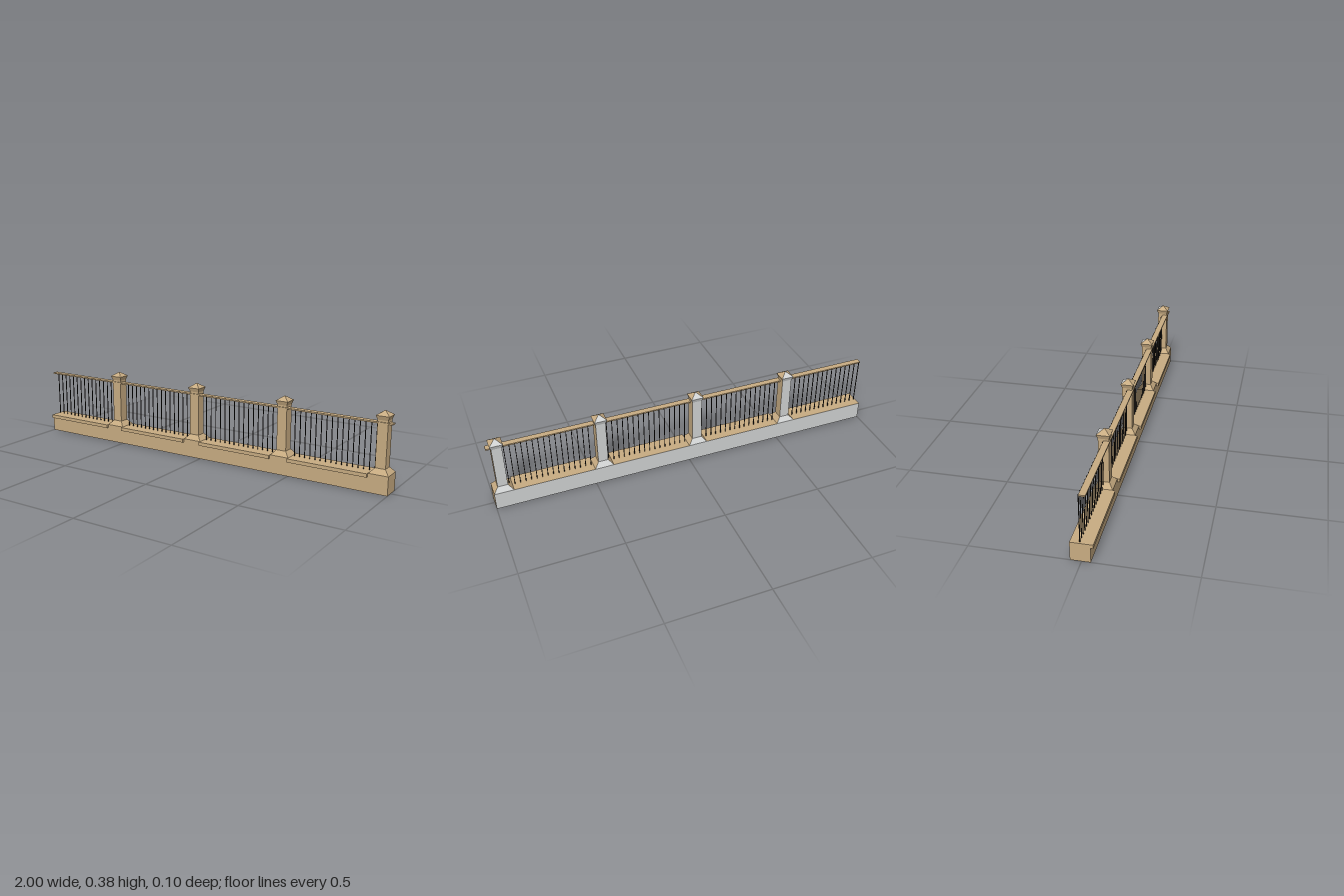
import * as THREE from 'three';

const tan = new THREE.MeshStandardMaterial({ color: 0xc8ac82 });
tan.name = 'tan stone';
const grey = new THREE.MeshStandardMaterial({ color: 0xd0d2d2 });
grey.name = 'plain grey';
const iron = new THREE.MeshStandardMaterial({ color: 0x1e1b18 });
iron.name = 'dark iron';

// box given by its min and max corners
function box(name, x0, x1, y0, y1, z0, z1, material) {
  const mesh = new THREE.Mesh(new THREE.BoxGeometry(x1 - x0, y1 - y0, z1 - z0), material);
  mesh.position.set((x0 + x1) / 2, (y0 + y1) / 2, (z0 + z1) / 2);
  mesh.name = name;
  return mesh;
}

// four-sided stack of rectangular rings [halfX, halfZ, y]; the back side is grey
function taper(name, rings) {
  const corners = [[-1, 1], [1, 1], [1, -1], [-1, -1]];
  const points = [];
  const geometry = new THREE.BufferGeometry();
  for (const side of [0, 1, 3, 2]) {
    const p = corners[side], q = corners[(side + 1) % 4];
    for (let i = 0; i < rings.length - 1; i++) {
      const at = ([sx, sz], [hx, hz, y]) => [sx * hx, y, sz * hz];
      const a = at(p, rings[i]), b = at(q, rings[i]);
      const c = at(q, rings[i + 1]), d = at(p, rings[i + 1]);
      points.push(...a, ...b, ...c);
      if (rings[i + 1][0] > 0) points.push(...a, ...c, ...d);
    }
  }
  geometry.setAttribute('position', new THREE.Float32BufferAttribute(points, 3));
  const count = points.length / 3;
  geometry.addGroup(0, count * 0.75, 0);
  geometry.addGroup(count * 0.75, count * 0.25, 1);
  geometry.computeVertexNormals();
  const mesh = new THREE.Mesh(geometry, [tan, grey]);
  mesh.name = name;
  return mesh;
}

// square post with sloped foot and pointed cap
function makePost() {
  const post = new THREE.Group();
  post.name = 'post';
  post.add(
    taper('postFoot', [[0.048, 0.045, 0.091], [0.025, 0.025, 0.116]]),
    taper('postShaft', [[0.025, 0.025, 0.116], [0.025, 0.025, 0.34]]),
    taper('postCap', [[0.025, 0.025, 0.34], [0.032, 0.032, 0.36], [0, 0, 0.382]])
  );
  return post;
}

// one fence section, 0.5 long, starting at x = 0
function makeSection() {
  const section = new THREE.Group();
  section.name = 'fenceSection';
  section.add(
    box('baseWall', 0, 0.5, 0, 0.091, -0.05, 0.04, [tan, tan, tan, tan, tan, grey]),
    box('frontLedge', 0, 0.402, 0.073, 0.091, 0.04, 0.052, tan),
    box('handRail', 0, 0.5, 0.324, 0.331, -0.005, 0.025, tan)
  );

  const post = makePost();
  post.position.set(0.452, 0, -0.005);
  section.add(post);

  // thin upright bars
  for (let i = 0; i < 16; i++) {
    const x = 0.01 + i * 0.0272;
    section.add(box('bar', x - 0.0015, x + 0.0015, 0.09, 0.328, -0.009, -0.005, iron));
  }
  return section;
}

export function createModel() {
  const fence = new THREE.Group();
  fence.name = 'fence';
  for (let i = 0; i < 4; i++) {
    const section = makeSection();
    section.position.x = -1 + i * 0.5;
    fence.add(section);
  }
  return fence;
}
